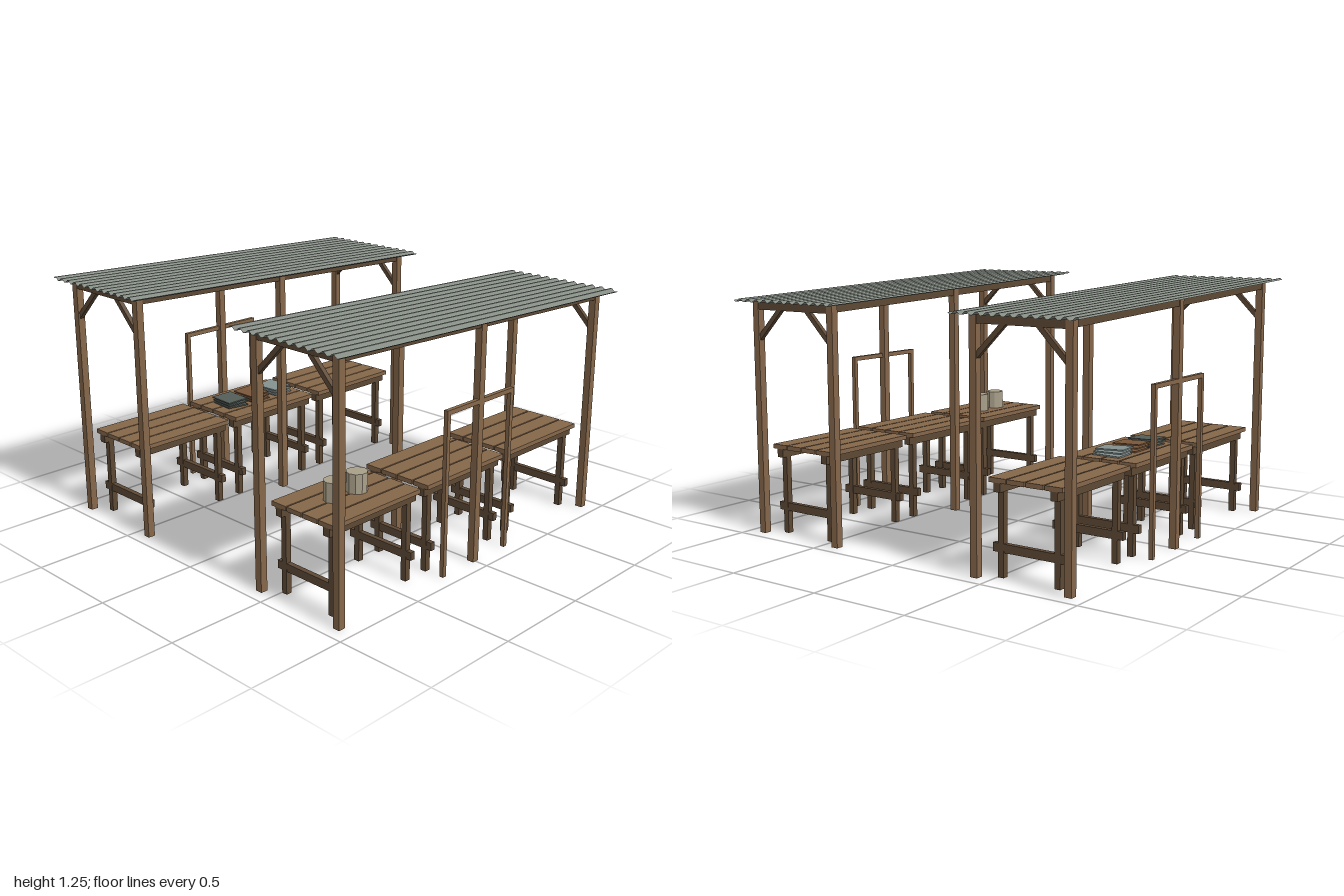
import * as THREE from 'three';

const mat = (name, color, extra = {}) => {
  const m = new THREE.MeshStandardMaterial({ color, ...extra });
  m.name = name;
  return m;
};

export function createModel() {
  const wood = mat('wood', 0x85674a);
  const darkWood = mat('dark wood', 0x5e4935);
  const tin = mat('corrugated tin', 0x848b83, { side: THREE.DoubleSide, flatShading: true });
  const clay = mat('pale pot', 0xaaa08a, { flatShading: true });
  const greyCloth = mat('grey cloth', 0x84918f);
  const brownCloth = mat('brown cloth', 0x7a573b);
  const slateCloth = mat('slate cloth', 0x555d58);

  const SLOPE = 0.0365;                       // roof rises towards the front
  const roofY = z => 1.2085 + SLOPE * z;

  const box = (parent, name, m, w, h, d, x, y, z, rx = 0, ry = 0, rz = 0) => {
    const mesh = new THREE.Mesh(new THREE.BoxGeometry(w, h, d), m);
    mesh.name = name;
    mesh.position.set(x, y, z);
    mesh.rotation.set(rx, ry, rz);
    parent.add(mesh);
    return mesh;
  };

  // Corrugated sheet: a plane whose vertices follow a wave across and a slope along
  function roofSheet() {
    const waves = 12, width = 0.664;
    const g = new THREE.PlaneGeometry(width, 2, waves * 6, 1);
    g.rotateX(-Math.PI / 2);
    const p = g.attributes.position;
    for (let i = 0; i < p.count; i++) {
      const a = (p.getX(i) / width + 0.5) * waves * Math.PI * 2;
      p.setY(i, roofY(p.getZ(i)) + 0.009 * Math.sin(a));
    }
    g.computeVertexNormals();
    const mesh = new THREE.Mesh(g, tin);
    mesh.name = 'roof';
    return mesh;
  }

  // Plank-topped table with end stretchers
  function table(z) {
    const t = new THREE.Group();
    t.name = 'table';
    t.position.z = z;
    for (let i = 0; i < 4; i++)
      box(t, 'plank', wood, 0.091, 0.022, 0.565, (i - 1.5) * 0.098, 0.444, 0);
    for (const sx of [-1, 1]) {
      box(t, 'apron', darkWood, 0.037, 0.042, 0.56, sx * 0.149, 0.412, 0);
      for (const sz of [-1, 1])
        box(t, 'leg', darkWood, 0.03, 0.43, 0.03, sx * 0.149, 0.215, sz * 0.237);
    }
    for (const sz of [-1, 1])
      box(t, 'stretcher', darkWood, 0.386, 0.04, 0.026, 0, 0.135, sz * 0.237);
    return t;
  }

  // One stall; side is the direction of its outer edge
  function stall(side) {
    const s = new THREE.Group();
    s.name = side > 0 ? 'leftStall' : 'rightStall';
    s.position.x = side * 0.667;
    s.add(roofSheet());

    for (const sx of [-1, 1]) {
      // Posts and the sloping beams on top of them
      for (const z of [-0.92, 0, 0.92]) {
        const h = roofY(z) - 0.007;
        box(s, 'post', wood, 0.037, h, 0.037, sx * 0.247, h / 2, z);
      }
      box(s, 'sideBeam', darkWood, 0.028, 0.036, 1.84, sx * 0.247, roofY(0) - 0.027, 0, -SLOPE);
    }
    for (const z of [-0.92, 0.92]) {
      const top = roofY(z);
      box(s, 'crossBeam', darkWood, 0.49, 0.04, 0.03, 0, top - (z > 0 ? 0.026 : 0.03), z);
      // Diagonal corner braces
      for (const sx of [-1, 1])
        box(s, 'brace', darkWood, 0.024, 0.215, 0.022, sx * 0.163, top - 0.118, z, 0, 0, sx * Math.PI / 4);
    }

    // Open frame beside the middle table
    const fx = side * 0.254;
    for (const sz of [-1, 1])
      box(s, 'frameUpright', wood, 0.022, 0.82, 0.022, fx, 0.41, sz * 0.233);
    box(s, 'frameRail', wood, 0.022, 0.022, 0.488, fx, 0.813, 0);

    for (const z of [-0.617, 0, 0.617]) s.add(table(z));
    return s;
  }

  const model = new THREE.Group();
  model.name = 'marketStalls';
  const left = stall(1), right = stall(-1);
  model.add(left, right);

  // Pots on the front table
  for (const z of [0.693, 0.548]) {
    const pot = new THREE.Mesh(new THREE.CylinderGeometry(0.051, 0.051, 0.097, 10), clay);
    pot.name = 'pot';
    pot.position.set(-0.004, 0.502, z);
    left.add(pot);
  }

  // Loose piles of thin cloths on the middle table
  [[0.155, slateCloth], [0, brownCloth], [-0.165, greyCloth]].forEach(([z, m], k) => {
    for (let i = 0; i < 3; i++)
      box(right, 'foldedCloth', m, 0.145, 0.007, 0.125, (i - 1) * -0.006, 0.461 + i * 0.014, z,
        0.02 * (i - 1), 0.08 * (k - 1) + 0.05 * (i - 1), 0.025 * (1 - i));
  });

  return model;
}
